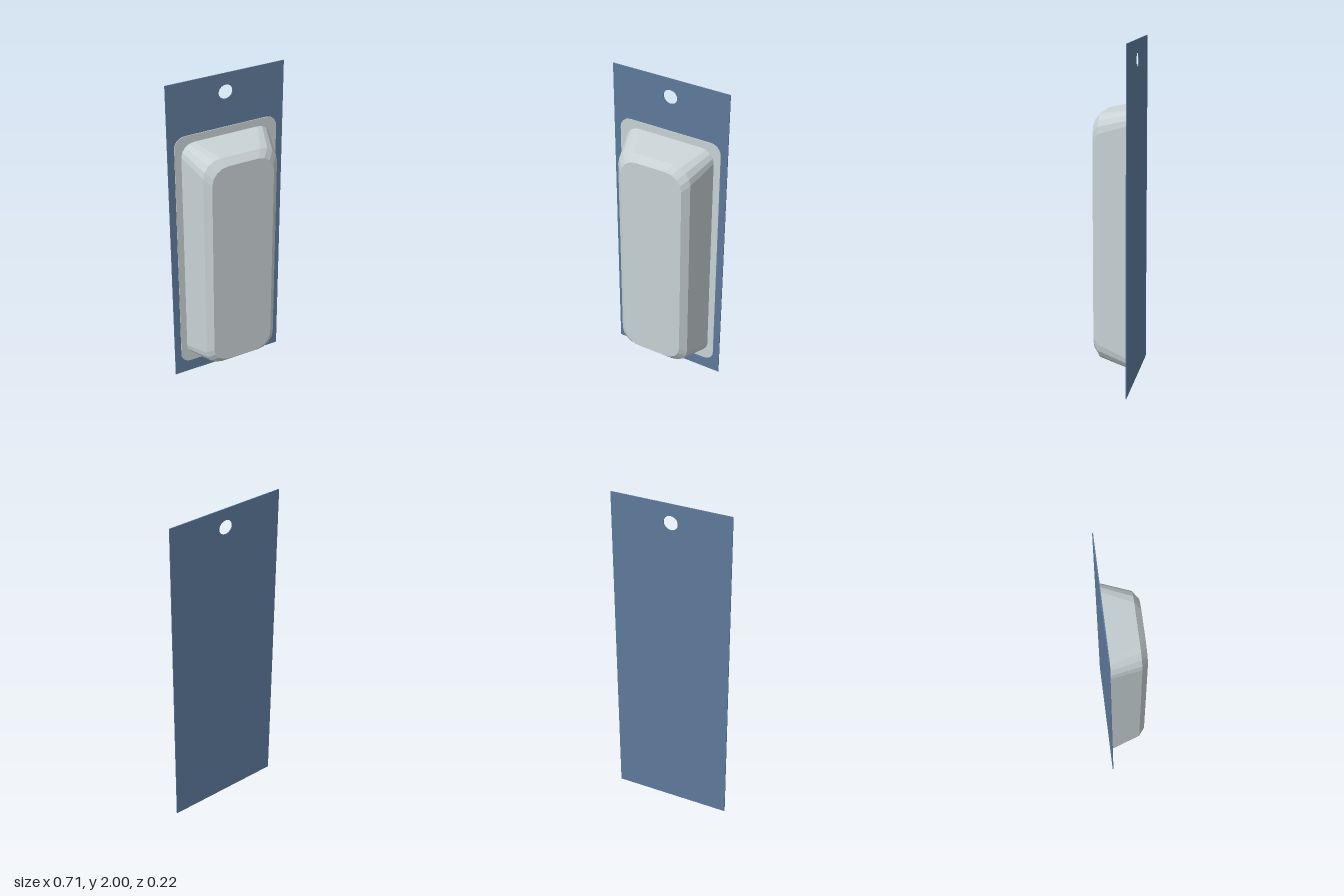
import * as THREE from 'three';

const CORNER_STEPS = 4;

// Counter-clockwise rounded rectangle, symmetrical about x = 0
function roundedLoop(halfWidth, bottom, top, radius, steps = CORNER_STEPS) {
  const points = [];
  const corners = [[1, bottom + radius], [1, top - radius], [-1, top - radius], [-1, bottom + radius]];
  corners.forEach(([side, cy], c) => {
    for (let i = 0; i <= steps; i++) {
      const angle = (c - 1 + i / steps) * Math.PI / 2;
      points.push(new THREE.Vector2(
        side * (halfWidth - radius) + radius * Math.cos(angle),
        cy + radius * Math.sin(angle)));
    }
  });
  return points;
}

// Faceted wall joining successive loops from back to front
function loftWall(rings) {
  const positions = [];
  for (let r = 0; r < rings.length - 1; r++) {
    const a = rings[r], b = rings[r + 1], n = a.points.length;
    for (let i = 0; i < n; i++) {
      const j = (i + 1) % n;
      const quad = [[a, i], [a, j], [b, j], [a, i], [b, j], [b, i]];
      quad.forEach(([ring, k]) => positions.push(ring.points[k].x, ring.points[k].y, ring.z));
    }
  }
  const geometry = new THREE.BufferGeometry();
  geometry.setAttribute('position', new THREE.Float32BufferAttribute(positions, 3));
  geometry.computeVertexNormals();
  return geometry;
}

export function createModel() {
  const model = new THREE.Group();
  model.name = 'blisterPack';
  const cardBlue = new THREE.MeshStandardMaterial({ color: 0x5f7b9c });
  cardBlue.name = 'cardBlue';
  const blisterGrey = new THREE.MeshStandardMaterial({ color: 0xc8d2d5 });
  blisterGrey.name = 'blisterGrey';

  const add = (name, geometry, material, z = 0, parent = model) => {
    const mesh = new THREE.Mesh(geometry, material);
    mesh.name = name;
    mesh.position.z = z;
    parent.add(mesh);
    return mesh;
  };

  // Backing card with a round hanging hole
  const cardShape = new THREE.Shape([
    new THREE.Vector2(-0.356, 0), new THREE.Vector2(0.356, 0),
    new THREE.Vector2(0.356, 2), new THREE.Vector2(-0.356, 2)]);
  cardShape.holes.push(new THREE.Path().absarc(0, 1.888, 0.042, 0, Math.PI * 2, true));
  add('backingCard', new THREE.ExtrudeGeometry(cardShape,
    { depth: 0.005, bevelEnabled: false, curveSegments: 24 }), cardBlue, -0.112);

  // Moulded blister: flange, tapered wall with chamfer, front face
  const blister = new THREE.Group();
  blister.name = 'blister';
  model.add(blister);

  const rings = [
    { points: roundedLoop(0.275, 0.13, 1.63, 0.08), z: -0.103 },
    { points: roundedLoop(0.227, 0.163, 1.598, 0.105), z: 0.076 },
    { points: roundedLoop(0.19, 0.2, 1.56, 0.1), z: 0.111 }
  ];

  const flangeShape = new THREE.Shape(roundedLoop(0.315, 0.082, 1.676, 0.065, 6));
  flangeShape.holes.push(new THREE.Path(rings[0].points.slice().reverse()));
  add('flange', new THREE.ExtrudeGeometry(flangeShape,
    { depth: 0.004, bevelEnabled: false }), blisterGrey, -0.107, blister);

  add('blisterWall', loftWall(rings), blisterGrey, 0, blister);
  add('blisterFront', new THREE.ShapeGeometry(new THREE.Shape(rings[2].points)),
    blisterGrey, rings[2].z, blister);

  return model;
}
